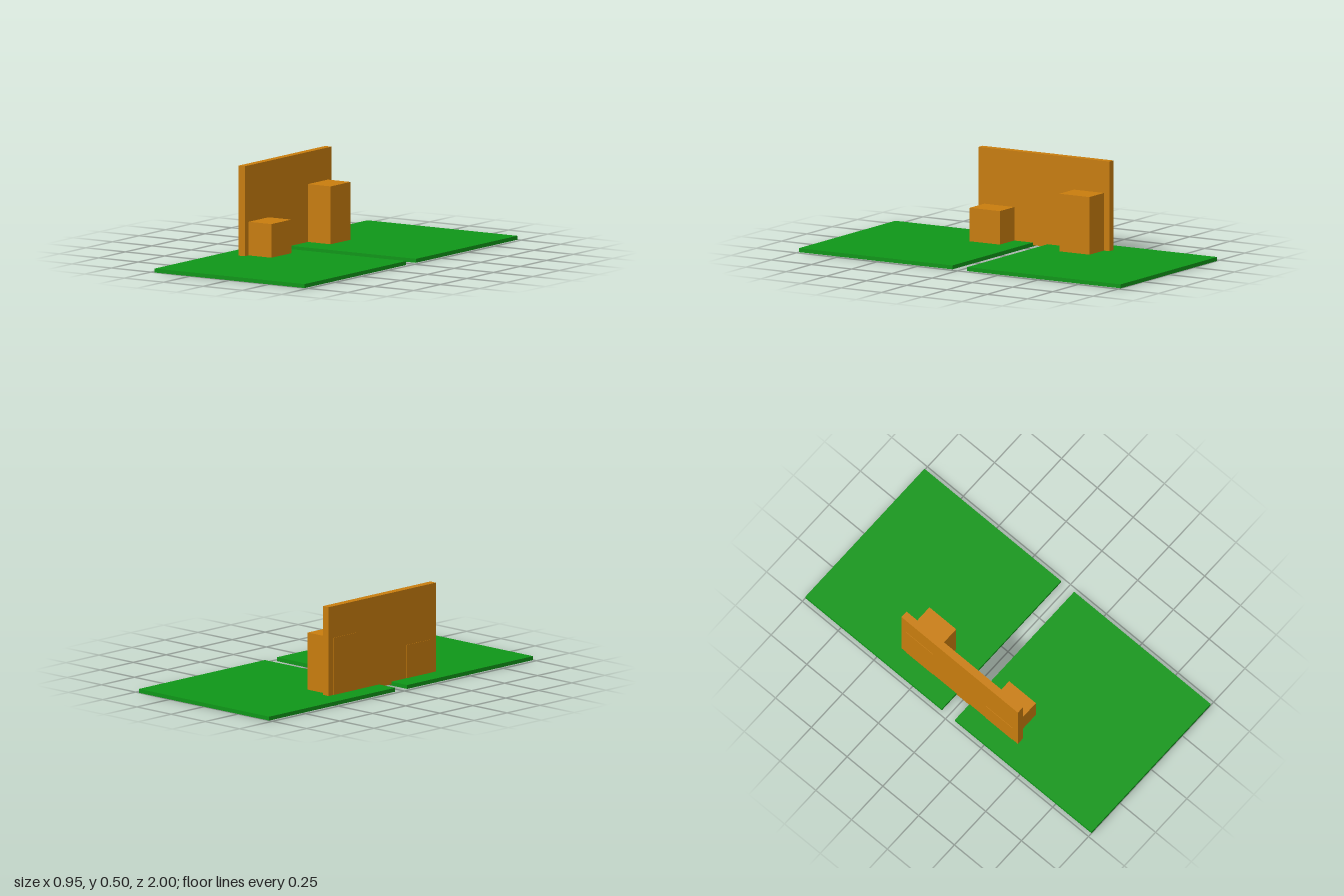
import * as THREE from 'three';

export function createModel() {
  const group = new THREE.Group();
  const green = new THREE.MeshStandardMaterial({ color: 0x0f9618 });
  const orange = new THREE.MeshStandardMaterial({ color: 0xc87d0e });

  // Box given by its lower and upper corners
  function addBox(name, material, [x0, y0, z0], [x1, y1, z1]) {
    const mesh = new THREE.Mesh(new THREE.BoxGeometry(x1 - x0, y1 - y0, z1 - z0), material);
    mesh.position.set((x0 + x1) / 2, (y0 + y1) / 2, (z0 + z1) / 2);
    mesh.name = name;
    group.add(mesh);
  }

  // Two ground slabs with a gap between them
  addBox('frontSlab', green, [-0.476, 0, 0.046], [0.476, 0.021, 1]);
  addBox('backSlab', green, [-0.476, 0, -1], [0.476, 0.021, -0.046]);

  // Upright wall bridging the gap
  addBox('wall', orange, [-0.36, 0.007, -0.43], [-0.319, 0.5, 0.384]);

  // Low and tall blocks, their backs just proud of the wall
  addBox('lowBlock', orange, [-0.362, 0.012, 0.161], [-0.175, 0.2, 0.348]);
  addBox('tallBlock', orange, [-0.362, 0.012, -0.396], [-0.175, 0.329, -0.209]);

  return group;
}
